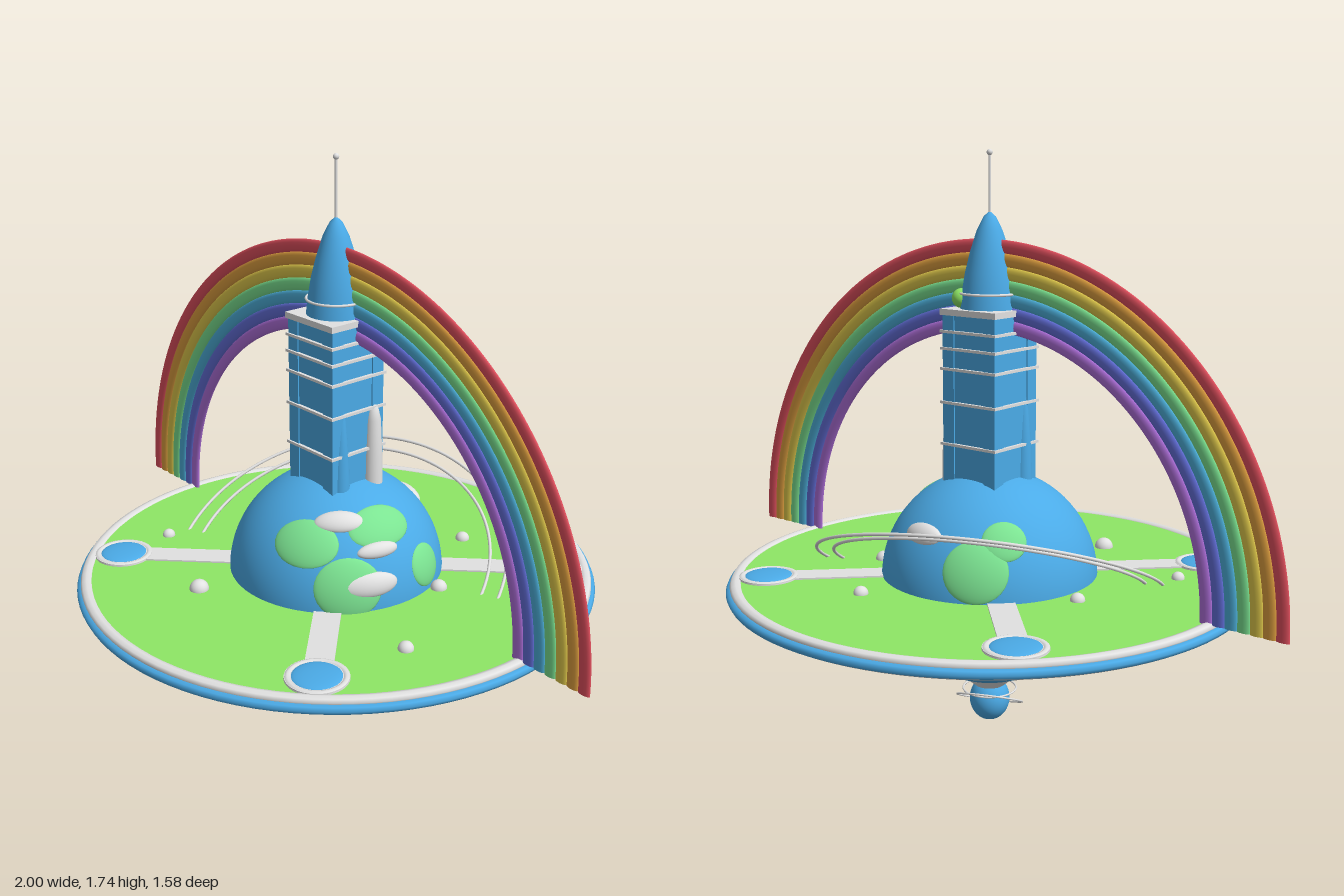
import * as THREE from 'three';

const mat = (name, color) => {
  const m = new THREE.MeshStandardMaterial({ color });
  m.name = name;
  return m;
};

export function createModel() {
  const root = new THREE.Group();
  root.name = 'planetStation';
  const blue = mat('skyBlue', 0x4cadea), grass = mat('grassGreen', 0x92ec68);
  const leaf = mat('landGreen', 0x7ce492), pale = mat('paleGrey', 0xe2e2e2);
  const red = mat('red', 0xe2505e), orange = mat('orange', 0xe0a040);
  const yellow = mat('yellow', 0xe2cb4c), teal = mat('teal', 0x4eb2de);
  const indigo = mat('indigo', 0x6470dc), violet = mat('violet', 0xb070dc);
  pale.side = THREE.DoubleSide;

  const add = (name, geo, material, x = 0, y = 0, z = 0, parent = root) => {
    const m = new THREE.Mesh(geo, material);
    m.name = name;
    m.position.set(x, y, z);
    parent.add(m);
    return m;
  };
  const lathe = (pts, seg = 64) =>
    new THREE.LatheGeometry(pts.map(([r, y]) => new THREE.Vector2(r, y)), seg);
  const ball = (r, w = 20, h = 14) => new THREE.SphereGeometry(r, w, h);
  const flatRing = (r, t, seg = 80) => new THREE.TorusGeometry(r, t, 8, seg).rotateX(Math.PI / 2);

  // Planet
  const R = 0.328, CY = 0.473;
  add('planet', ball(R, 64, 40), blue, 0, CY, 0);

  // Patches that follow the curve of the planet: direction, half width, half height
  const patch = (name, material, dir, a, b, thick) => {
    const g = ball(1, 28, 14).scale(a, b, thick);
    const p = g.attributes.position;
    for (let i = 0; i < p.count; i++) {
      const x = p.getX(i), y = p.getY(i);
      p.setZ(i, p.getZ(i) + Math.sqrt(R * R - x * x - y * y));
    }
    g.computeVertexNormals();
    const m = add(name, g, material, 0, CY, 0);
    m.lookAt(dir[0], CY + dir[1], dir[2]);
  };
  [
    [[0.13, 0.20, 0.23], 0.098, 0.072], [[0.23, 0.23, 0.03], 0.10, 0.065],
    [[0.25, 0.08, 0.17], 0.10, 0.09], [[0.30, 0.09, -0.09], 0.065, 0.065],
    [[-0.16, 0.10, -0.26], 0.095, 0.09], [[-0.20, 0.18, -0.18], 0.065, 0.06],
    [[0.15, -0.22, 0.15], 0.075, 0.05], [[0.14, -0.21, -0.20], 0.08, 0.06],
    [[0.07, -0.21, -0.24], 0.06, 0.05], [[-0.22, -0.22, 0.06], 0.06, 0.05],
    [[-0.14, -0.21, -0.21], 0.06, 0.05],
  ].forEach(([d, a, b]) => patch('continent', leaf, d, a, b, 0.011));
  [
    [[0.18, 0.27, 0.14], 0.075, 0.034], [[0.27, 0.18, 0.07], 0.065, 0.024],
    [[0.29, 0.09, 0.12], 0.087, 0.037], [[0.03, 0.19, -0.28], 0.07, 0.032],
    [[0.22, -0.24, 0.06], 0.06, 0.018], [[0.19, -0.20, 0.15], 0.05, 0.018],
    [[-0.23, -0.21, 0.02], 0.05, 0.018], [[-0.09, -0.18, -0.27], 0.05, 0.02],
  ].forEach(([d, a, b]) => patch('cloud', pale, d, a, b, 0.018));

  // Saucer: hull, lawn, rims
  add('hull', lathe([[0.26, 0.295], [0.385, 0.33], [0.40, 0.34], [0.57, 0.38], [0.60, 0.39], [0.775, 0.445], [0.78, 0.46]], 96), pale);
  add('lawn', new THREE.CylinderGeometry(0.752, 0.752, 0.02, 96), grass, 0, 0.476, 0);
  add('innerRim', flatRing(0.762, 0.018, 96), pale, 0, 0.48, 0).scale.y = 0.7;
  add('outerRim', flatRing(0.776, 0.016, 96), blue, 0, 0.462, 0).scale.y = 0.9;
  add('hullBlueRing', flatRing(0.40, 0.008), blue, 0, 0.338, 0);
  add('hullSeam', flatRing(0.575, 0.004), pale, 0, 0.379, 0);
  for (let i = 0; i < 16; i++) {
    const a = i * Math.PI / 8, s = Math.sin(a), c = Math.cos(a);
    add('hullStud', ball(0.012, 10, 8), pale, 0.66 * s, 0.409, 0.66 * c);
    add('hullSmallStud', ball(0.008, 8, 6), pale, 0.345 * s, 0.319, 0.345 * c);
  }

  // Four walkways with landing pads
  for (let i = 0; i < 4; i++) {
    const arm = new THREE.Group();
    arm.name = 'walkwayArm';
    arm.rotation.y = Math.PI / 4 + i * Math.PI / 2;
    root.add(arm);
    add('walkway', new THREE.BoxGeometry(0.3, 0.012, 0.08), pale, 0.44, 0.485, 0, arm);
    add('padBase', new THREE.CylinderGeometry(0.088, 0.088, 0.014, 40), pale, 0.667, 0.485, 0, arm);
    add('padRim', flatRing(0.079, 0.01, 40), pale, 0.667, 0.487, 0, arm).scale.y = 0.8;
    add('padDome', ball(0.071, 32, 12), blue, 0.667, 0.49, 0, arm).scale.y = 0.15;
  }
  // Domes on the lawn
  [[-0.375, -0.065, 0.022], [-0.49, 0.29, 0.02], [-0.13, 0.425, 0.029], [0.52, 0.195, 0.023],
    [0.33, -0.12, 0.025], [0.145, -0.41, 0.022]].forEach(([x, z, r]) =>
    add('lawnDome', ball(r), pale, x, 0.487, z));

  // Square tower with corner piers and thin bands
  add('tower', new THREE.BoxGeometry(0.188, 0.53, 0.188), blue, 0, 1.005, 0);
  for (const sx of [-1, 1]) {
    for (const sz of [-1, 1])
      add('towerCorner', new THREE.BoxGeometry(0.042, 0.51, 0.042), blue, sx * 0.077, 1.015, sz * 0.077);
    add('towerButtress', lathe([[0.03, 0.75], [0.026, 0.87], [0.016, 1.0], [0, 1.1]], 20), blue, sx * 0.082, 0, 0.055);
  }
  for (const y of [0.885, 1.01, 1.11, 1.17, 1.22])
    add('towerBand', new THREE.BoxGeometry(0.208, 0.008, 0.208), pale, 0, y, 0);
  add('towerCap', new THREE.BoxGeometry(0.208, 0.018, 0.208), pale, 0, 1.277, 0);

  // Spire with antenna
  add('spire', lathe([[0.087, 1.283], [0.082, 1.33], [0.072, 1.39], [0.057, 1.45], [0.038, 1.51], [0.018, 1.55], [0, 1.566]], 40), blue);
  add('spireRing', flatRing(0.086, 0.004, 40), pale, 0, 1.33, 0);
  add('spireOrb', ball(0.029), grass, 0.065, 1.315, -0.05);
  add('antenna', new THREE.CylinderGeometry(0.004, 0.004, 0.18, 8), pale, 0, 1.645, 0);
  add('antennaTip', ball(0.009, 12, 8), pale, 0, 1.731, 0);

  // Slim annex beside the tower
  add('annex', lathe([[0.03, 0.75], [0.029, 0.85], [0.023, 0.97], [0.014, 1.01], [0, 1.022]], 20), pale, 0.092, 0, -0.065);

  // Tilted orbit rings
  const tilt = new THREE.Quaternion().setFromUnitVectors(
    new THREE.Vector3(0, 1, 0), new THREE.Vector3(0.2, 1, 0.46).normalize());
  for (const r of [0.478, 0.53])
    add('orbitRing', flatRing(r, 0.005, 120), pale, 0, 0.485, 0).quaternion.copy(tilt);

  // Lower collar and engine pod
  add('collar', lathe([[0.045, 0.118], [0.06, 0.13], [0.105, 0.172], [0.13, 0.182]], 40), pale);
  add('enginePod', ball(0.062, 32, 20), blue, 0, 0.072, 0).scale.y = 1.12;
  add('podRing', flatRing(0.082, 0.003, 48), pale, 0, 0.105, 0);
  add('podTiltedRing', flatRing(0.102, 0.003, 48), pale, 0, 0.07, 0).quaternion.copy(tilt);

  // Rainbow arch
  [red, orange, yellow, leaf, teal, indigo, violet].forEach((m, i) => {
    m.side = THREE.DoubleSide;
    const band = new THREE.TorusGeometry(0.981 - i * 0.038, 0.0195, 12, 96, Math.PI);
    add('rainbowBand', band, m, 0, 0.486, 0).scale.z = 0.4;
  });
  return root;
}
